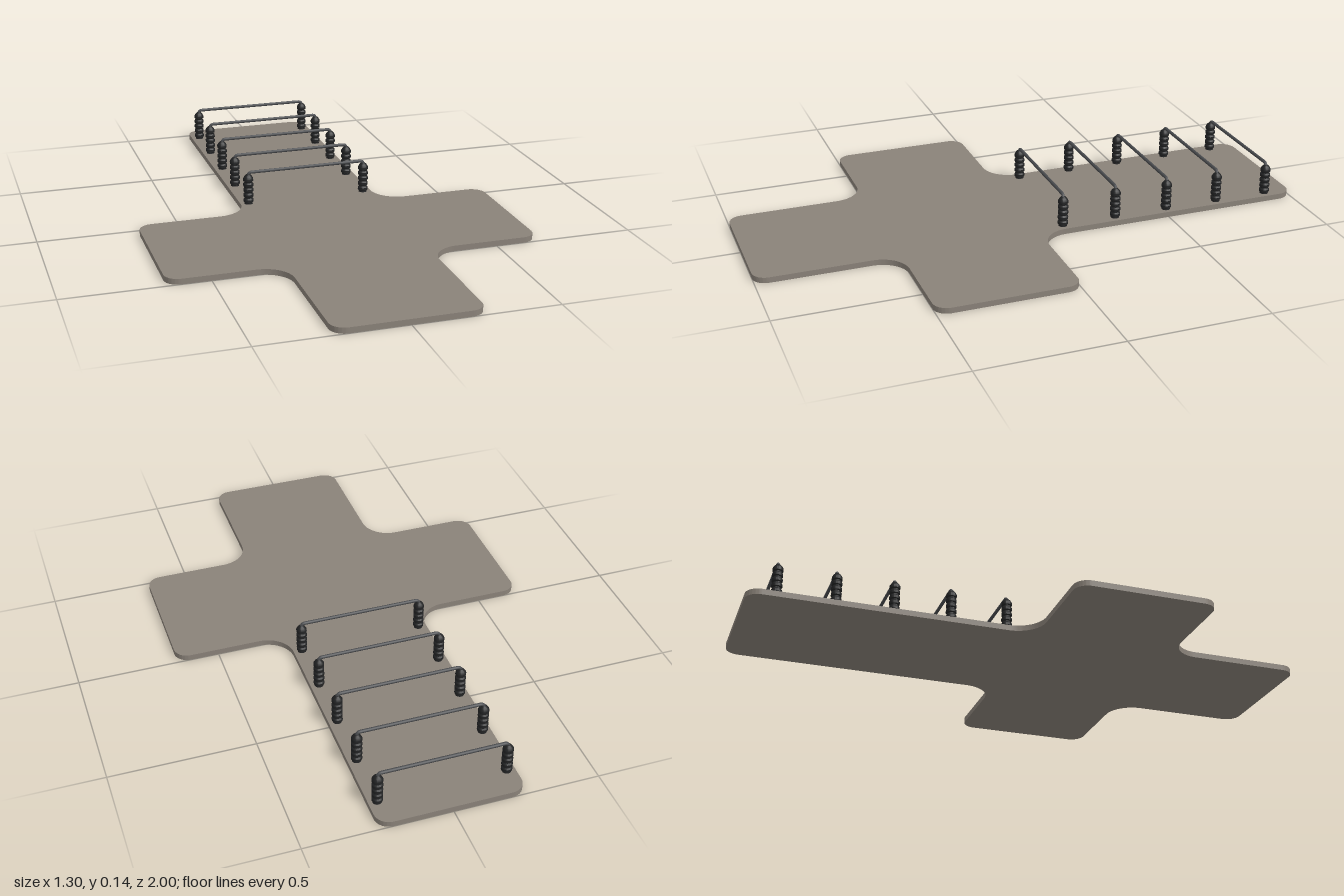
import * as THREE from 'three';
import { toCreasedNormals } from 'three/addons/utils/BufferGeometryUtils.js';

const PLATE_TOP = 0.02;
const POST_X = 0.22;
const BAR_Y = 0.139;

// Closed outline with an arc at every axis-aligned corner [x, y, radius]
function roundedOutline(corners) {
  const shape = new THREE.Shape();
  const n = corners.length;
  const at = (i) => new THREE.Vector2(corners[(i + n) % n][0], corners[(i + n) % n][1]);
  for (let i = 0; i < n; i++) {
    const p = at(i), r = corners[i][2];
    const back = at(i - 1).sub(p).normalize();
    const next = at(i + 1).sub(p).normalize();
    const c = p.clone().addScaledVector(back, r).addScaledVector(next, r);
    const clockwise = -back.cross(next) < 0;
    shape.absarc(c.x, c.y, r, Math.atan2(-next.y, -next.x), Math.atan2(-back.y, -back.x), clockwise);
  }
  shape.closePath();
  return shape;
}

// Flat cross-shaped base plate
function plateGeometry() {
  const o = 0.05, f = 0.1; // outer corner and inner fillet radii
  const outline = roundedOutline([
    [-0.25, -1, o], [0.25, -1, o], [0.25, -0.5, f], [0.65, -0.5, o],
    [0.65, 0, o], [0.25, 0, f], [0.25, 1, o], [-0.25, 1, o],
    [-0.25, 0, f], [-0.65, 0, o], [-0.65, -0.5, o], [-0.25, -0.5, f],
  ]);
  const geometry = new THREE.ExtrudeGeometry(outline, { depth: PLATE_TOP, bevelEnabled: false, curveSegments: 10 });
  geometry.rotateX(-Math.PI / 2);
  return toCreasedNormals(geometry, 0.6);
}

// Ribbed insulator post with a tapered cap
function postGeometry() {
  const profile = [new THREE.Vector2(0, PLATE_TOP - 0.002), new THREE.Vector2(0.0165, PLATE_TOP - 0.002)];
  const ribs = 5, pitch = 0.02;
  for (let i = 0; i < ribs; i++) {
    const y = PLATE_TOP + i * pitch;
    profile.push(
      new THREE.Vector2(0.0145, y + 0.002), new THREE.Vector2(0.0145, y + 0.005),
      new THREE.Vector2(0.0185, y + 0.008), new THREE.Vector2(0.0185, y + 0.017),
    );
  }
  profile.push(new THREE.Vector2(0.014, 0.125), new THREE.Vector2(0.007, 0.132), new THREE.Vector2(0, 0.132));
  return toCreasedNormals(new THREE.LatheGeometry(profile, 16), 0.6);
}

// Thin rod bent down into both posts
function barGeometry() {
  const v = (x, y) => new THREE.Vector3(x, y, 0);
  const r = 0.014;
  const path = new THREE.CurvePath();
  path.add(new THREE.LineCurve3(v(-POST_X, 0.11), v(-POST_X, BAR_Y - r)));
  path.add(new THREE.QuadraticBezierCurve3(v(-POST_X, BAR_Y - r), v(-POST_X, BAR_Y), v(-POST_X + r, BAR_Y)));
  path.add(new THREE.LineCurve3(v(-POST_X + r, BAR_Y), v(POST_X - r, BAR_Y)));
  path.add(new THREE.QuadraticBezierCurve3(v(POST_X - r, BAR_Y), v(POST_X, BAR_Y), v(POST_X, BAR_Y - r)));
  path.add(new THREE.LineCurve3(v(POST_X, BAR_Y - r), v(POST_X, 0.11)));
  return new THREE.TubeGeometry(path, 120, 0.006, 8, false);
}

export function createModel() {
  const plateMaterial = new THREE.MeshStandardMaterial({ color: 0x8a8279 });
  plateMaterial.name = 'warm grey plate';
  const postMaterial = new THREE.MeshStandardMaterial({ color: 0x222324 });
  postMaterial.name = 'black post';
  const barMaterial = new THREE.MeshStandardMaterial({ color: 0x4a4c4f });
  barMaterial.name = 'dark grey metal';

  const model = new THREE.Group();
  model.name = 'crossPlateWithRails';
  const add = (parent, name, geometry, material) => {
    const mesh = new THREE.Mesh(geometry, material);
    mesh.name = name;
    parent.add(mesh);
    return mesh;
  };

  add(model, 'basePlate', plateGeometry(), plateMaterial);

  // Five rails along the rear stem
  const post = postGeometry();
  const bar = barGeometry();
  for (let i = 0; i < 5; i++) {
    const rail = new THREE.Group();
    rail.name = `rail${i + 1}`;
    rail.position.z = -0.1 - i * 0.2;
    add(rail, 'leftPost', post, postMaterial).position.x = POST_X;
    add(rail, 'rightPost', post, postMaterial).position.x = -POST_X;
    add(rail, 'bar', bar, barMaterial);
    model.add(rail);
  }
  return model;
}
